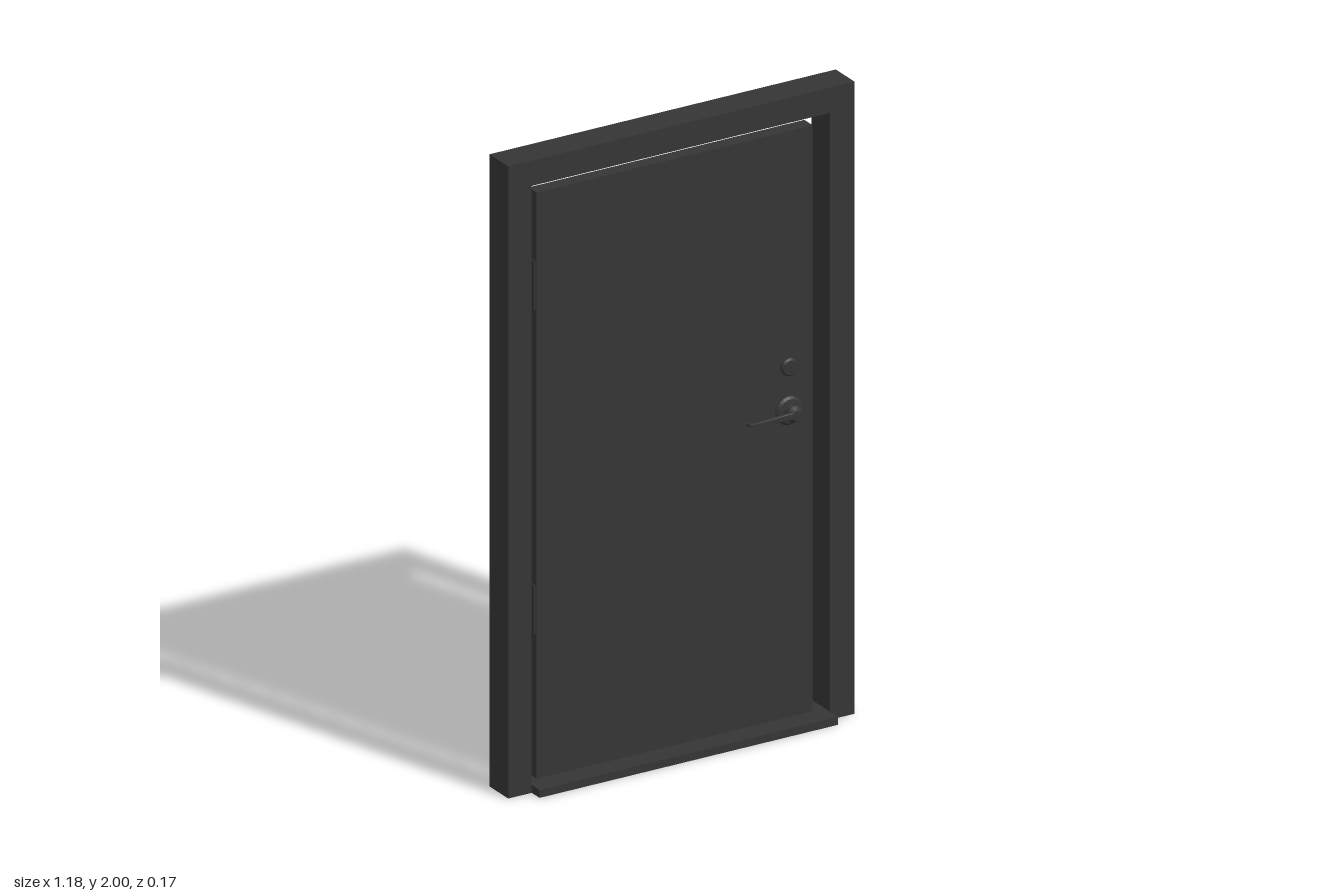
import * as THREE from 'three';

const metal = new THREE.MeshStandardMaterial({ color: 0x353535 });
metal.name = 'dark grey';

const MID_Z = -0.0125;      // centre plane of frame and door
const DOOR_HALF = 0.0225;   // half the door thickness

function add(parent, name, geometry) {
  const mesh = new THREE.Mesh(geometry, metal);
  mesh.name = name;
  parent.add(mesh);
  return mesh;
}

// Box given by its limits on each axis
function box(parent, name, [x0, x1], [y0, y1], [z0, z1]) {
  const mesh = add(parent, name, new THREE.BoxGeometry(x1 - x0, y1 - y0, z1 - z0));
  mesh.position.set((x0 + x1) / 2, (y0 + y1) / 2, (z0 + z1) / 2);
  return mesh;
}

// Round part turned about z, from [radius, height] pairs
function turned(points, segments = 24) {
  const profile = points.map(([r, h]) => new THREE.Vector2(r, h)).reverse();
  const g = new THREE.LatheGeometry(profile.reverse(), segments).toNonIndexed();
  g.rotateX(Math.PI / 2);
  g.computeVertexNormals();
  return g;
}

// Lever drawn in plan (x, z), thinned in height towards its tip
function leverGeometry() {
  const s = new THREE.Shape();
  s.moveTo(0.012, 0.034);
  s.lineTo(0.012, 0.048);
  s.lineTo(-0.135, 0.048);
  s.quadraticCurveTo(-0.158, 0.047, -0.159, 0.03);
  s.lineTo(-0.151, 0.029);
  s.quadraticCurveTo(-0.15, 0.04, -0.135, 0.04);
  s.lineTo(-0.04, 0.039);
  s.closePath();
  const g = new THREE.ExtrudeGeometry(s, {
    depth: 0.02, curveSegments: 6, bevelThickness: 0.002, bevelSize: 0.0015, bevelSegments: 1,
  });
  g.translate(0, 0, -0.01);
  g.rotateX(Math.PI / 2);
  const p = g.attributes.position;
  for (let i = 0; i < p.count; i++) {
    const t = THREE.MathUtils.clamp(-p.getX(i) / 0.16, 0, 1);
    p.setY(i, p.getY(i) * (1 - 0.6 * t));
  }
  g.computeVertexNormals();
  return g;
}

export function createModel() {
  const model = new THREE.Group();
  model.name = 'doorAndFrame';

  // Frame: one extruded arch-shaped outline
  const outline = new THREE.Shape();
  [[-0.59, 0], [-0.51, 0], [-0.51, 1.92], [0.507, 1.92], [0.507, 0], [0.59, 0], [0.59, 2], [-0.59, 2]]
    .forEach(([x, y], i) => (i ? outline.lineTo(x, y) : outline.moveTo(x, y)));
  const frame = add(model, 'frame', new THREE.ExtrudeGeometry(outline, { depth: 0.104, bevelEnabled: false }));
  frame.position.z = MID_Z - 0.052;

  box(model, 'threshold', [-0.51, 0.507], [0, 0.025], [-0.083, 0.083]);
  box(model, 'doorLeaf', [-0.475, 0.465], [0.025, 1.88], [MID_Z - DOOR_HALF, MID_Z + DOOR_HALF]);

  // Hinges on the left edge, knuckles just behind the back face
  for (const [y0, y1] of [[0.48, 0.635], [1.505, 1.66]]) {
    const hinge = new THREE.Group();
    hinge.name = 'hinge';
    box(hinge, 'hingeLeaf', [-0.479, -0.475], [y0, y1], [MID_Z - DOOR_HALF, MID_Z + 0.015]);
    const knuckle = add(hinge, 'hingeKnuckle', new THREE.CylinderGeometry(0.004, 0.004, y1 - y0, 12));
    knuckle.position.set(-0.475, (y0 + y1) / 2, MID_Z - DOOR_HALF - 0.001);
    model.add(hinge);
  }

  // Matching lever and lock on both faces
  const rose = turned([[0.045, 0], [0.045, 0.005], [0.038, 0.011], [0.021, 0.013], [0.018, 0.022],
    [0.026, 0.03], [0.026, 0.036], [0.017, 0.049], [0, 0.05]]);
  const lock = turned([[0.028, 0], [0.028, 0.007], [0.023, 0.012], [0, 0.012]]);
  const lever = leverGeometry();
  for (const side of [1, -1]) {
    const place = (name, x, y) => {
      const g = new THREE.Group();
      g.name = name;
      g.position.set(x, y, MID_Z + side * DOOR_HALF);
      if (side < 0) g.rotation.x = Math.PI;
      model.add(g);
      return g;
    };
    const handle = place(side > 0 ? 'frontHandle' : 'backHandle', 0.383, 0.997);
    add(handle, 'handleRose', rose);
    add(handle, 'handleLever', lever);

    const bolt = place(side > 0 ? 'frontLock' : 'backLock', 0.383, 1.135);
    add(bolt, 'lockCylinder', lock);
    const slot = add(bolt, 'keySlot', new THREE.BoxGeometry(0.003, 0.016, 0.002));
    slot.position.z = 0.0125;
  }
  return model;
}
